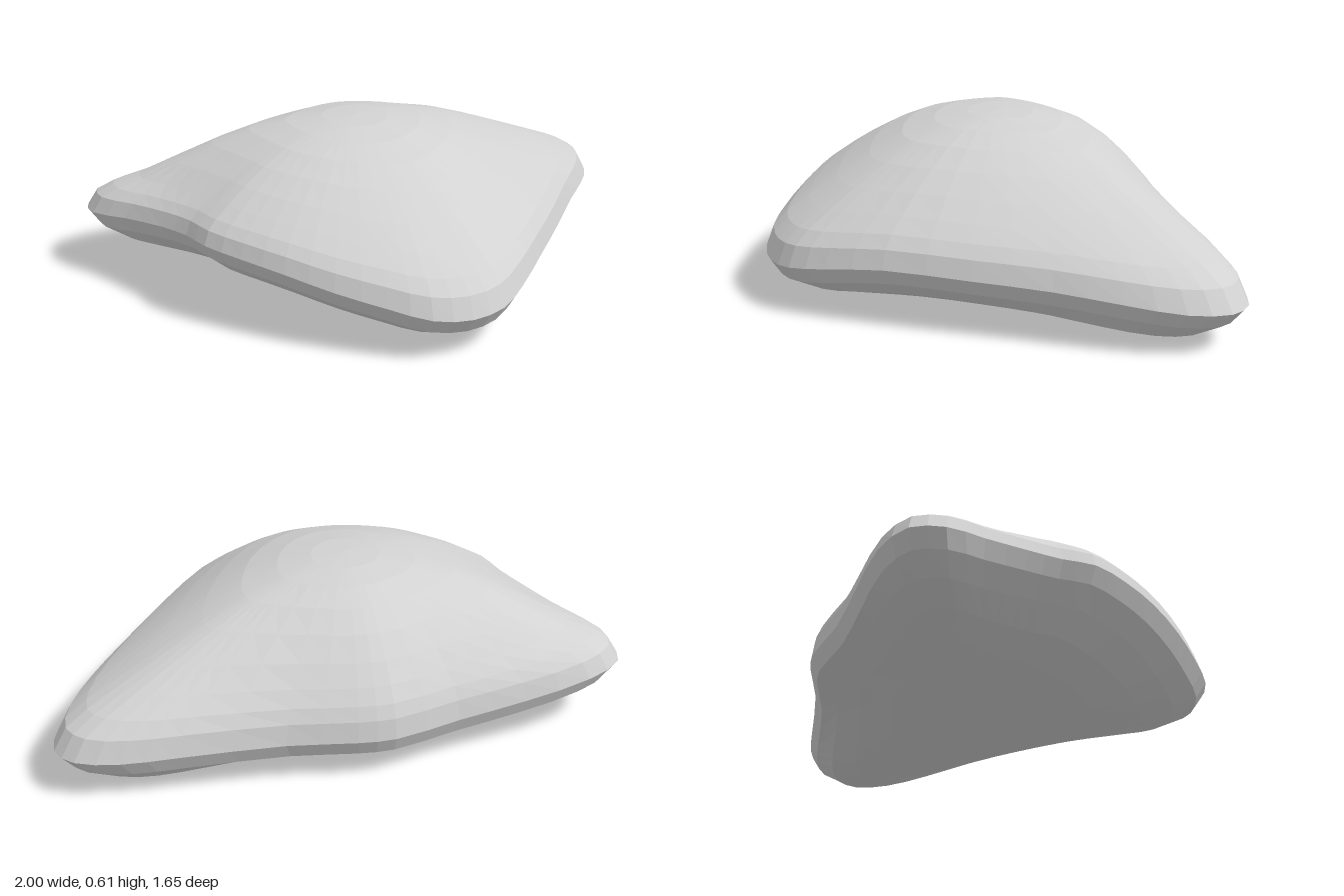
import * as THREE from 'three';

// Widest edge of the stone, seen from above: x, z and height y
const EDGE = [
  [-1, -0.12, 0.235], [-0.89, -0.24, 0.22], [-0.66, -0.36, 0.19], [-0.42, -0.475, 0.17],
  [-0.2, -0.61, 0.165], [-0.07, -0.645, 0.165], [0.18, -0.68, 0.165], [0.55, -0.775, 0.16],
  [0.74, -0.82, 0.155], [0.9, -0.82, 0.155], [0.985, -0.75, 0.155], [0.998, -0.6, 0.16],
  [0.95, -0.4, 0.18], [0.87, -0.17, 0.2], [0.78, 0.1, 0.21], [0.67, 0.4, 0.215],
  [0.58, 0.6, 0.19], [0.5, 0.73, 0.17], [0.39, 0.8, 0.16], [0.25, 0.825, 0.17],
  [0.1, 0.79, 0.2], [-0.08, 0.73, 0.235], [-0.25, 0.65, 0.27], [-0.4, 0.56, 0.29],
  [-0.53, 0.46, 0.3], [-0.6, 0.35, 0.295], [-0.7, 0.24, 0.285], [-0.84, 0.11, 0.265],
  [-0.97, 0, 0.245],
];

// Rings from the peak to the edge, then under the rim band: [scale, blend to peak or base]
const DOME = [[0, 1], [0.14, 0.985], [0.28, 0.935], [0.42, 0.845], [0.56, 0.71],
  [0.7, 0.55], [0.82, 0.4], [0.91, 0.28], [0.967, 0.17], [1, 0]];
const BELLY = [[0.955, 0], [0.85, 0.45], [0.7, 0.76], [0.5, 0.94], [0.28, 1], [0, 1]];

const CENTRE = { x: 0.02, z: -0.04 };
const PEAK = 0.613;
const BAND = 0.06; // height of the rim band
const MEAN_RADIUS = 0.9;

function stoneGeometry() {
  const curve = new THREE.CatmullRomCurve3(
    EDGE.map(([x, z, y]) => new THREE.Vector3(x, y, z)), true);
  const sides = EDGE.length * 2;
  const edge = curve.getPoints(sides).slice(0, sides);
  const positions = [];
  const index = [];

  // Dome rings grow rounder towards the peak, which fills out the flanks
  const addDomeRing = ([scale, blend]) => {
    for (const p of edge) {
      const dx = p.x - CENTRE.x, dz = p.z - CENTRE.z;
      const s = scale * (MEAN_RADIUS / Math.hypot(dx, dz)) ** (1.05 * (1 - scale));
      const x = CENTRE.x + dx * s;
      // Slight hollow towards the pointed end
      const hollow = 0.018 * Math.min(1, (1 - scale) * 6) * Math.exp(-(((x + 0.78) / 0.25) ** 2));
      positions.push(x, THREE.MathUtils.lerp(p.y, PEAK, blend) - hollow, CENTRE.z + dz * s);
    }
  };

  // The belly tilts down towards +x and is shallower under the short flanks
  const addBellyRing = ([scale, blend]) => {
    for (const p of edge) {
      const dx = p.x - CENTRE.x, dz = p.z - CENTRE.z;
      const x = CENTRE.x + dx * scale;
      const depth = blend ** ((MEAN_RADIUS / Math.hypot(dx, dz)) ** 1.5);
      const y = THREE.MathUtils.lerp(p.y - BAND, 0.027 - 0.058 * x, depth);
      positions.push(x, y, CENTRE.z + dz * scale);
    }
  };
  DOME.forEach(addDomeRing);
  BELLY.forEach(addBellyRing);

  // Join the rings, with plain triangles at both poles
  const last = DOME.length + BELLY.length - 2;
  for (let r = 0; r <= last; r++) {
    for (let j = 0; j < sides; j++) {
      const k = (j + 1) % sides;
      const a = r * sides + j, b = r * sides + k;
      const c = a + sides, d = b + sides;
      if (r > 0) index.push(a, b, c);
      if (r < last) index.push(b, d, c);
    }
  }

  const geometry = new THREE.BufferGeometry();
  geometry.setAttribute('position', new THREE.Float32BufferAttribute(positions, 3));
  geometry.setIndex(index);
  const faceted = geometry.toNonIndexed();
  faceted.computeVertexNormals();
  return faceted;
}

export function createModel() {
  const group = new THREE.Group();
  group.name = 'rock';
  const stoneGrey = new THREE.MeshStandardMaterial({ color: 0xd2d2d2 });
  stoneGrey.name = 'stoneGrey';
  const stone = new THREE.Mesh(stoneGeometry(), stoneGrey);
  stone.name = 'stone';
  group.add(stone);
  return group;
}
